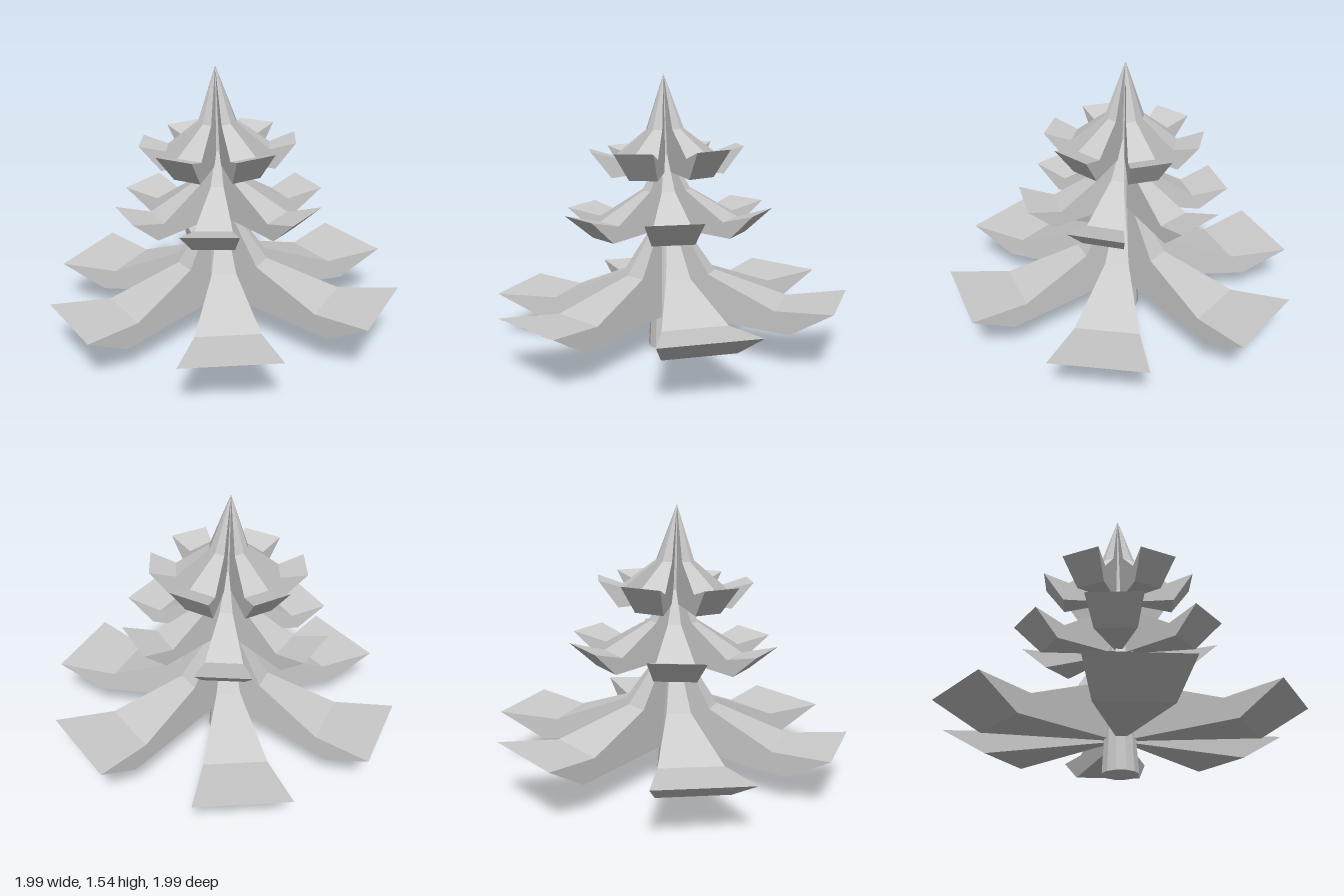
import * as THREE from 'three';

const BRANCHES = 6;
const HALF_ANGLE = Math.PI / 12;

// One tier: radial profile (radius, height) from the underside out to the tip and up to the apex
const TIERS = [
  { name: 'lowerBranch', turn: 17.7, profile: [[0, 0.19], [0.72, 0.165], [0.962, 0.31], [0.64, 0.285], [0.25, 0.44], [0, 0.83]] },
  { name: 'middleBranch', turn: 10.3, profile: [[0, 0.69], [0.42, 0.665], [0.565, 0.797], [0.377, 0.75], [0.132, 0.905], [0, 1.14]] },
  { name: 'upperBranch', turn: 43.5, profile: [[0, 1.01], [0.31, 0.987], [0.42, 1.137], [0.28, 1.095], [0.102, 1.24], [0, 1.542]] },
];

// Extrude the profile, then pinch it to a wedge that closes on the trunk axis
function wedgeGeometry(profile) {
  const shape = new THREE.Shape(profile.map(([r, y]) => new THREE.Vector2(r, y)));
  const geometry = new THREE.ExtrudeGeometry(shape, { depth: 1, bevelEnabled: false });
  const pos = geometry.attributes.position;
  const slope = Math.tan(HALF_ANGLE);
  for (let i = 0; i < pos.count; i++) {
    pos.setZ(i, (pos.getZ(i) > 0.5 ? 1 : -1) * pos.getX(i) * slope);
  }
  geometry.computeVertexNormals();
  return geometry;
}

export function createModel() {
  const model = new THREE.Group();
  model.name = 'tree';
  const grey = new THREE.MeshStandardMaterial({ color: 0xcccccc });
  grey.name = 'lightGrey';
  grey.flatShading = true;

  // Three tiers of six wedge branches, leaning slightly to one side
  const crown = new THREE.Group();
  crown.name = 'crown';
  crown.rotation.z = 0.0355;
  for (const { name, turn, profile } of TIERS) {
    const geometry = wedgeGeometry(profile);
    for (let i = 0; i < BRANCHES; i++) {
      const branch = new THREE.Mesh(geometry, grey);
      branch.name = name;
      branch.rotation.y = THREE.MathUtils.degToRad(turn) + (i * Math.PI * 2) / BRANCHES;
      crown.add(branch);
    }
  }
  model.add(crown);

  // Tapering trunk, sheared so its point meets the top of the crown
  const height = 1.53;
  const trunkGeometry = new THREE.CylinderGeometry(0.003, 0.1, height, 12);
  trunkGeometry.translate(0, height / 2, 0);
  const pos = trunkGeometry.attributes.position;
  for (let i = 0; i < pos.count; i++) {
    const t = pos.getY(i) / height;
    pos.setX(i, pos.getX(i) - 0.03 - 0.024 * t);
    pos.setZ(i, pos.getZ(i) + 0.01 * (1 - t));
  }
  trunkGeometry.computeVertexNormals();
  const trunk = new THREE.Mesh(trunkGeometry, grey);
  trunk.name = 'trunk';
  model.add(trunk);

  return model;
}
